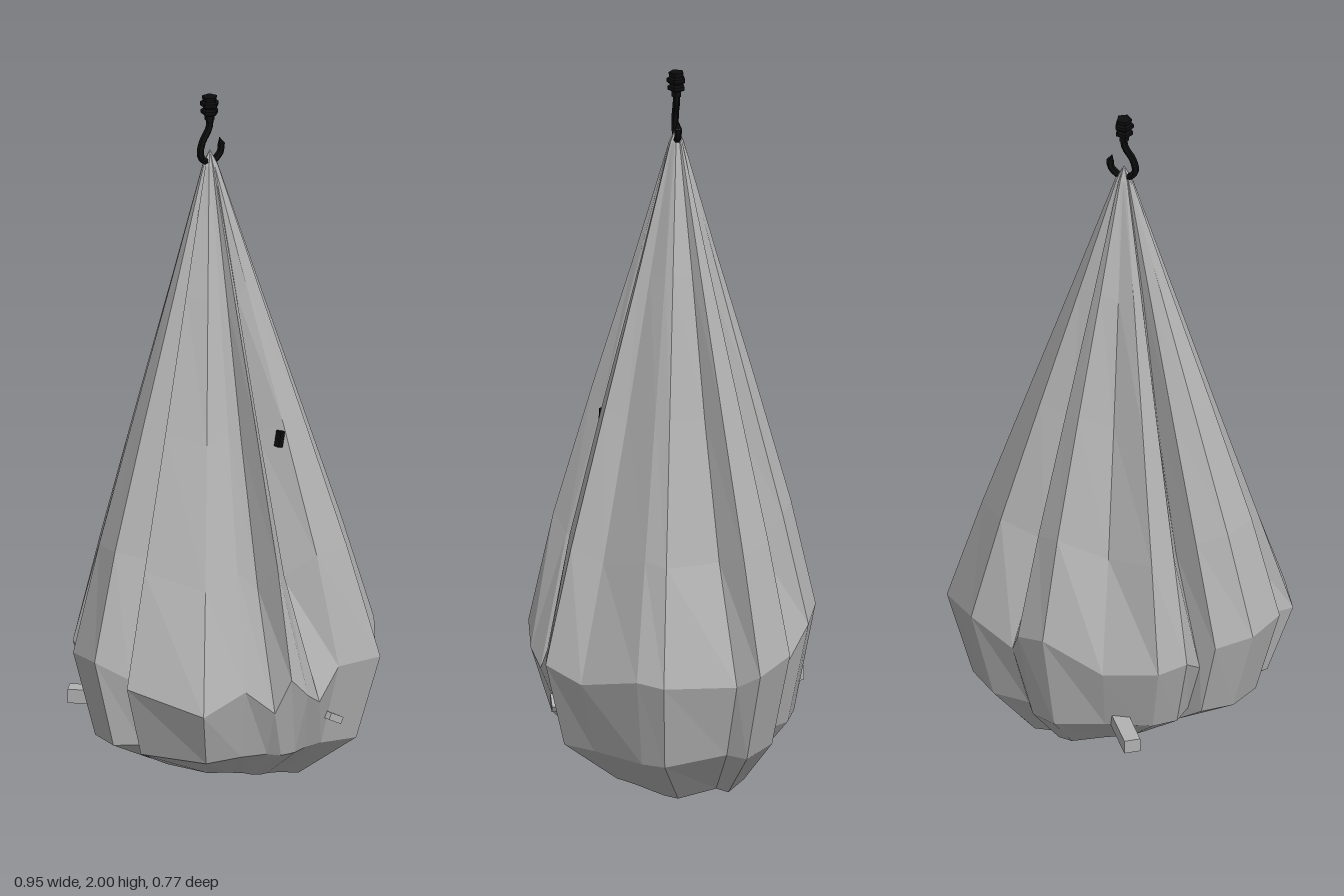
import * as THREE from 'three';

const cloth = new THREE.MeshStandardMaterial({ color: 0xb2b2b2, flatShading: true });
cloth.name = 'grey cloth';
const iron = new THREE.MeshStandardMaterial({ color: 0x0c0c0c, flatShading: true });
iron.name = 'black iron';

// Fold columns round the sack: x, z and height of the widest point, and fold depth factor above it
const COLUMNS = [
  [0.475, 0.07, 0.39, 1], [0.44, 0.14, 0.4, 0.97], [0.32, 0.28, 0.36, 0.92],
  [0.255, 0.37, 0.4, 0.98], [0.12, 0.35, 0.4, 1.02], [0.04, 0.36, 0.32, 0.74],
  [-0.02, 0.38, 0.36, 0.9], [-0.08, 0.38, 0.42, 1.02], [-0.11, 0.345, 0.32, 0.86],
  [-0.2, 0.325, 0.4, 0.93], [-0.345, 0.315, 0.36, 0.9], [-0.46, 0.13, 0.42, 0.95],
  [-0.39, 0.06, 0.41, 0.8], [-0.475, 0.015, 0.47, 1], [-0.45, -0.1, 0.46, 0.98],
  [-0.37, -0.17, 0.44, 0.95], [-0.32, -0.165, 0.36, 0.8], [-0.32, -0.245, 0.42, 0.95],
  [-0.26, -0.3, 0.4, 0.98], [-0.11, -0.34, 0.38, 0.84], [0.045, -0.395, 0.48, 1],
  [0.135, -0.365, 0.45, 0.98], [0.18, -0.305, 0.36, 0.83], [0.31, -0.295, 0.42, 0.98],
  [0.43, -0.2, 0.4, 0.97], [0.39, -0.14, 0.36, 0.84],
];

// Rows above the widest point: height fraction, radius scale, strength of the folds
const UPPER = [[0, 1, 0], [0.22, 0.82, 0.8], [0.48, 0.56, 1], [0.74, 0.29, 0.6], [0.98, 0.05, 0]];

function columnPoints([x, z, y, fold]) {
  const points = [
    [0.03, 0.005, -0.11],
    [x * 0.52 + 0.01, 0.06 - 0.12 * x, z * 0.52 - 0.03],
    [x * 0.85, 0.175 - 0.07 * x, z * 0.85],
  ];
  for (const [t, scale, strength] of UPPER) {
    const s = scale * (1 - (1 - fold) * strength);
    points.push([x * s - 0.02 * t, y + (1.83 - y) * t, z * s - 0.02 * t]);
  }
  points.push([-0.02, 1.845, -0.02]);
  return points;
}

function sackGeometry() {
  const columns = COLUMNS.map(columnPoints);
  const last = columns[0].length - 1;
  const positions = [];
  const face = (...corners) => corners.forEach((c) => positions.push(...c));
  columns.forEach((a, i) => {
    const b = columns[(i + 1) % columns.length];
    for (let r = 0; r < last; r++) {
      if (r < last - 1) face(a[r], a[r + 1], b[r + 1]);
      else face(a[r], a[r + 1], b[r]);
      if (r > 0 && r < last - 1) face(a[r], b[r + 1], b[r]);
    }
  });
  const geometry = new THREE.BufferGeometry();
  geometry.setAttribute('position', new THREE.Float32BufferAttribute(positions, 3));
  geometry.computeVertexNormals();
  return geometry;
}

function add(parent, name, geometry, material, x = 0, y = 0, z = 0) {
  const mesh = new THREE.Mesh(geometry, material);
  mesh.name = name;
  mesh.position.set(x, y, z);
  parent.add(mesh);
  return mesh;
}

export function createModel() {
  const model = new THREE.Group();
  model.name = 'hangingSack';
  add(model, 'sack', sackGeometry(), cloth);

  // Hook with a ribbed swivel on top
  const hook = new THREE.Group();
  hook.name = 'hook';
  hook.position.set(-0.02, 0, -0.02);
  model.add(hook);
  const profile = [
    [0, 1.925], [0.014, 1.93], [0.014, 1.945], [0.025, 1.95], [0.025, 1.96], [0.018, 1.965],
    [0.027, 1.973], [0.027, 1.983], [0.02, 1.987], [0.022, 2], [0, 2],
  ].map(([r, y]) => new THREE.Vector2(r, y));
  add(hook, 'swivel', new THREE.LatheGeometry(profile, 5), iron);
  const path = new THREE.CatmullRomCurve3([
    [0, 1.945], [-0.002, 1.91], [-0.028, 1.87], [-0.034, 1.835], [-0.014, 1.812],
    [0.016, 1.81], [0.04, 1.83], [0.042, 1.85],
  ].map(([x, y]) => new THREE.Vector3(x, y, 0)));
  add(hook, 'hookBend', new THREE.TubeGeometry(path, 20, 0.01, 6), iron);
  const tip = add(hook, 'hookTip', new THREE.ConeGeometry(0.011, 0.025, 6), iron, 0.039, 1.86, 0);
  tip.rotation.z = 0.3;

  // Small pieces poking through the cloth
  const stub = add(model, 'backStub', new THREE.BoxGeometry(0.045, 0.04, 0.16), cloth, -0.165, 0.2, -0.315);
  stub.rotation.y = Math.atan2(0.07, 0.08);
  const chip = add(model, 'frontChip', new THREE.BoxGeometry(0.05, 0.02, 0.03), cloth, 0.12, 0.245, 0.325);
  chip.rotation.z = -0.5;
  const speck = add(model, 'darkSpeck', new THREE.BoxGeometry(0.014, 0.045, 0.02), iron, 0.047, 1.04, 0.19);
  speck.rotation.z = -0.2;
  return model;
}
